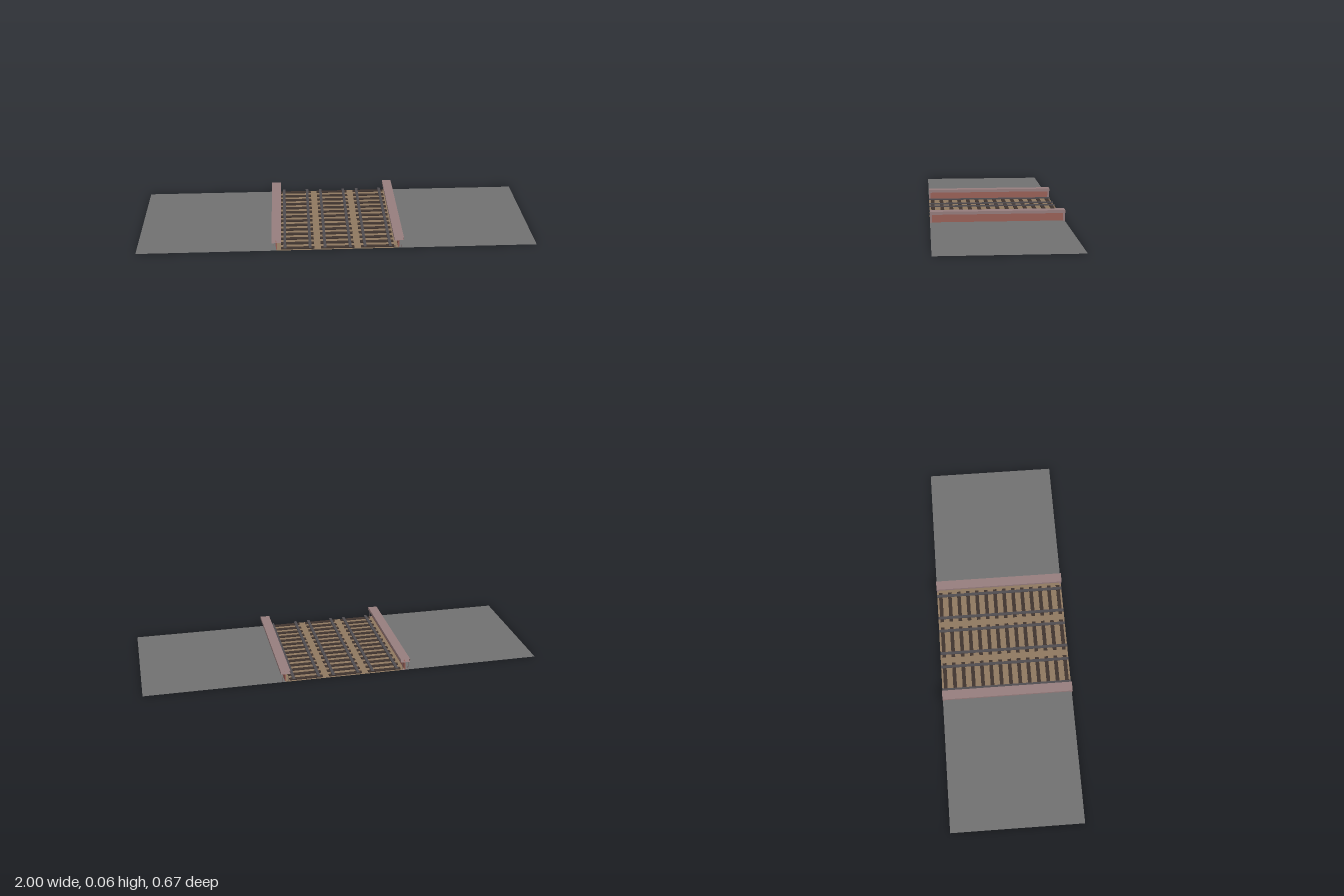
import * as THREE from 'three';

const DEPTH = 0.67; // length along the tracks

function material(name, color, side = THREE.FrontSide) {
  const m = new THREE.MeshStandardMaterial({ color, side });
  m.name = name;
  return m;
}

// Box given by its centre in x and z and its bottom in y
function box(parent, name, mat, w, h, d, x, y, z, open = false) {
  const g = new THREE.BoxGeometry(w, h, d);
  if (open) { // drop the two end faces along z
    g.setIndex(Array.from(g.index.array).slice(0, 24));
    g.clearGroups();
  }
  const mesh = new THREE.Mesh(g, mat);
  mesh.name = name;
  mesh.position.set(x, y + h / 2, z);
  parent.add(mesh);
}

function plane(parent, name, mat, x0, x1) {
  const g = new THREE.PlaneGeometry(x1 - x0, DEPTH).rotateX(-Math.PI / 2);
  const mesh = new THREE.Mesh(g, mat);
  mesh.name = name;
  mesh.position.x = (x0 + x1) / 2;
  parent.add(mesh);
}

export function createModel() {
  const model = new THREE.Group();
  model.name = 'railwayCutting';
  const asphalt = material('asphalt', 0x707070, THREE.DoubleSide);
  const gravel = material('gravel', 0x8e7860, THREE.DoubleSide);
  const brick = material('brick', 0x9a6158);
  const stone = material('copingStone', 0x967d7d, THREE.DoubleSide);
  const wood = material('sleeperWood', 0x40342f);
  const steel = material('railSteel', 0x504c50);

  // Ground strips and the gravel bed between them
  const edge = 0.305;
  plane(model, 'gravelBed', gravel, -edge, edge);
  plane(model, 'groundRight', asphalt, -1, -edge);
  plane(model, 'groundLeft', asphalt, edge, 1);

  // Low walls with a wide coping and stone ends
  for (const s of [-1, 1]) {
    const wall = new THREE.Group();
    wall.name = s > 0 ? 'wallLeft' : 'wallRight';
    const x = s * edge;
    box(wall, 'wallPanel', brick, 0.006, 0.042, 0.652, x, 0, 0);
    box(wall, 'coping', stone, 0.048, 0.015, DEPTH, x, 0.042, 0, true);
    for (const e of [-1, 1]) {
      box(wall, 'endStone', stone, 0.03, 0.042, 0.009, x, 0, e * 0.3305, true);
    }
    model.add(wall);
  }

  // Three parallel tracks
  for (const x of [-0.2, 0, 0.2]) {
    const track = new THREE.Group();
    track.name = 'track';
    track.position.x = x;
    for (let i = 0; i < 14; i++) {
      box(track, 'sleeper', wood, 0.167, 0.005, 0.019, 0, 0, -0.316 + i * 0.0486);
    }
    for (const s of [-1, 1]) {
      box(track, 'rail', steel, 0.014, 0.006, DEPTH, s * 0.063, 0.005, 0, true);
    }
    model.add(track);
  }
  return model;
}
